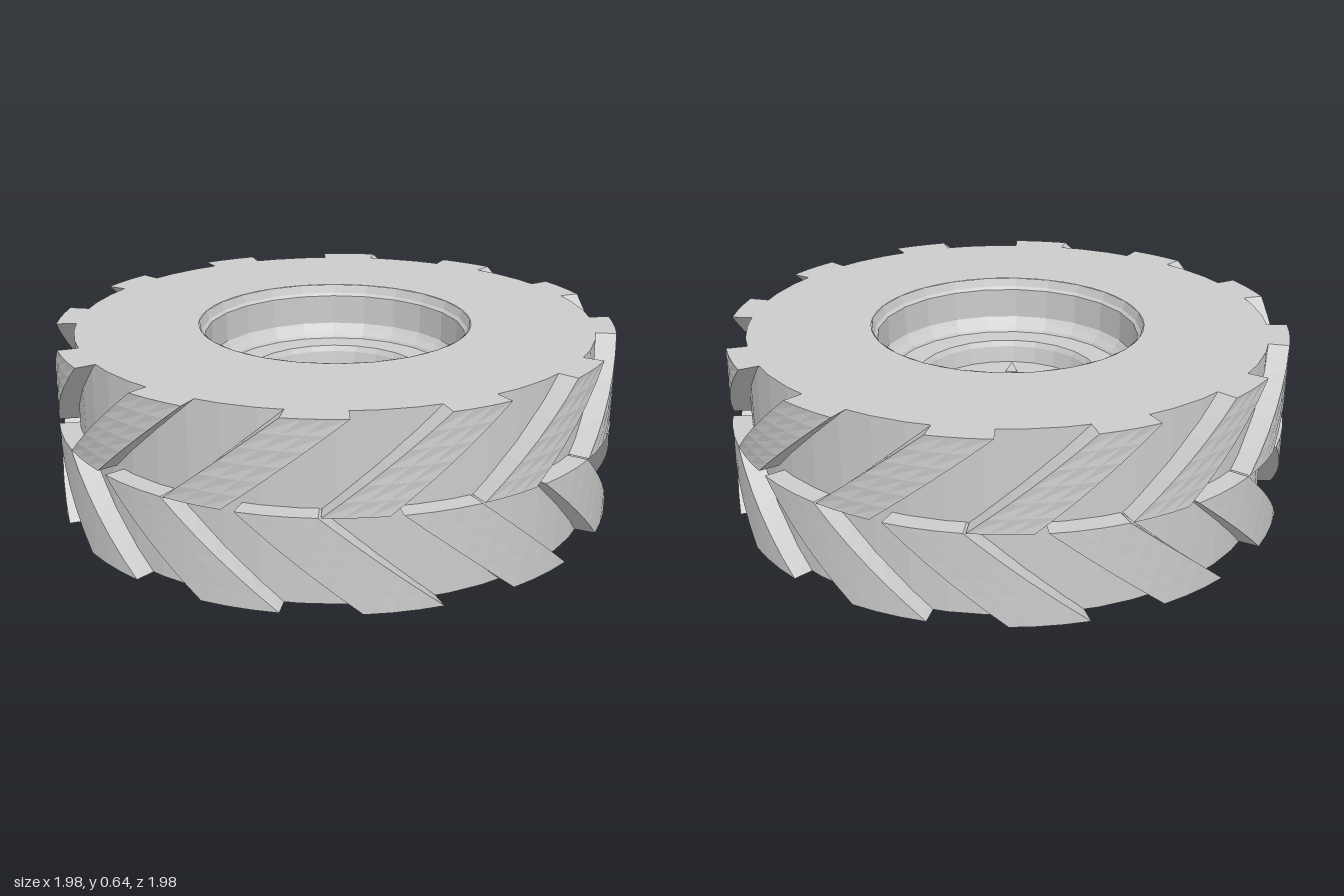
import * as THREE from 'three';

const H = 0.64, MID = 0.325, R = 0.99, CORE = 0.92, LUGS = 12;
const rad = THREE.MathUtils.degToRad;
const material = new THREE.MeshStandardMaterial({ color: 0xcccccc, flatShading: true, side: THREE.DoubleSide });

function lathe(name, points, segments) {
  const geometry = new THREE.LatheGeometry(points.map(([r, y]) => new THREE.Vector2(r, y)), segments);
  const mesh = new THREE.Mesh(geometry, material);
  mesh.name = name;
  return mesh;
}

// A slanted tread bar: a box bent round the tyre and sheared along its height
function lugGeometry(y0, y1, start, width, shift0, shift1) {
  const geometry = new THREE.BoxGeometry(1, 1, 1, 3, 6, 1);
  const p = geometry.attributes.position;
  for (let i = 0; i < p.count; i++) {
    const t = p.getY(i) + 0.5;
    const angle = rad(start + width * (p.getX(i) + 0.5) + THREE.MathUtils.lerp(shift0, shift1, t));
    const r = p.getZ(i) > 0 ? R : CORE - 0.03;
    p.setXYZ(i, r * Math.sin(angle), THREE.MathUtils.lerp(y0, y1, t), r * Math.cos(angle));
  }
  geometry.computeVertexNormals();
  return geometry;
}

export function createModel() {
  const group = new THREE.Group();

  // Tyre carcass with flat sidewalls
  group.add(lathe('tyre', [[0.485, 0], [CORE, 0], [CORE, H], [0.485, H]], 48));

  // Stepped rim: upper well, central ledge, lower well
  group.add(lathe('upperRim', [
    [0.485, H], [0.475, 0.61], [0.465, 0.6], [0.465, 0.49], [0.45, 0.47], [0.43, 0.45],
    [0.425, 0.44], [0.33, 0.44], [0.32, 0.42], [0.31, 0.36],
  ], 24));
  group.add(lathe('lowerRim', [
    [0.31, 0.3], [0.32, 0.2], [0.33, 0.18], [0.425, 0.18], [0.43, 0.17], [0.45, 0.15],
    [0.465, 0.13], [0.465, 0.04], [0.475, 0.03], [0.485, 0],
  ], 24));

  // Hub disc with the axle hole
  group.add(lathe('hubDisc', [[0.31, 0.36], [0.14, 0.36], [0.14, 0.3], [0.31, 0.3]], 24));

  // Small wedge-shaped studs on the hub
  const studGeometry = new THREE.ConeGeometry(0.03, 0.04, 3);
  for (let i = 0; i < 4; i++) {
    const a = rad(45 + 90 * i);
    const stud = new THREE.Mesh(studGeometry, material);
    stud.name = 'hubStud';
    stud.position.set(0.22 * Math.sin(a), 0.375, 0.22 * Math.cos(a));
    stud.rotation.y = a;
    group.add(stud);
  }

  // Staggered rows of tread bars meeting in a chevron at the middle
  const upper = lugGeometry(MID, H, -18, 12, 0, 23);
  const lower = lugGeometry(0, MID, -3.5, 15, 23, 0);
  for (let i = 0; i < LUGS; i++) {
    for (const [name, geometry] of [['upperLug', upper], ['lowerLug', lower]]) {
      const lug = new THREE.Mesh(geometry, material);
      lug.name = name;
      lug.rotation.y = rad((360 / LUGS) * i);
      group.add(lug);
    }
  }
  return group;
}
